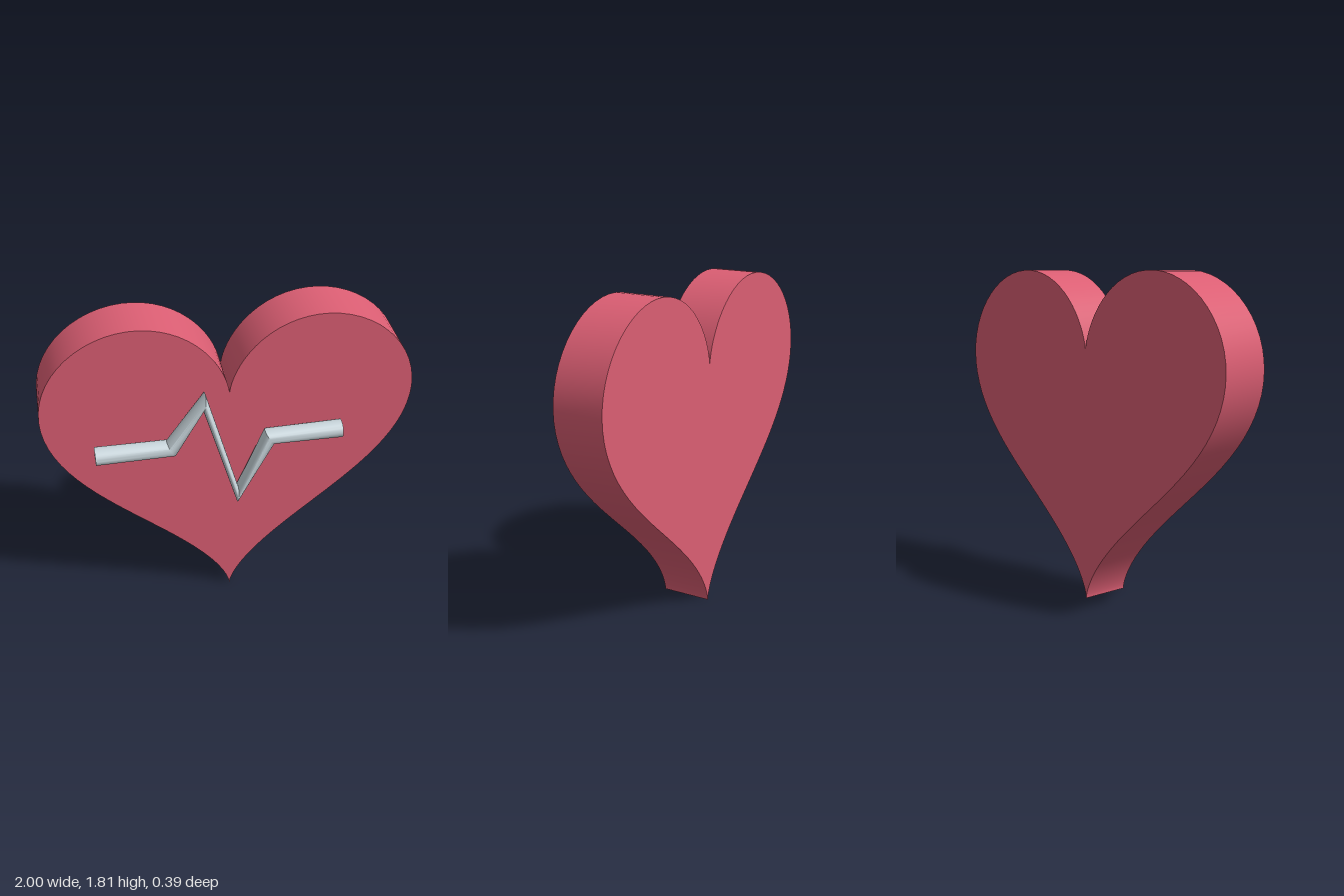
import * as THREE from 'three';
import { toCreasedNormals } from 'three/addons/utils/BufferGeometryUtils.js';

// Heart outline from the parametric heart curve, tip on y = 0
function heartShape(segments) {
  const points = [];
  for (let i = 0; i < segments; i++) {
    const t = (i / segments) * Math.PI * 2;
    const x = 16 * Math.sin(t) ** 3;
    const y = 13 * Math.cos(t) - 5 * Math.cos(2 * t) - 2 * Math.cos(3 * t) - Math.cos(4 * t);
    points.push(new THREE.Vector2(x / 16, (y + 17) / 16));
  }
  return new THREE.Shape(points);
}

// Open tube with one mitred ring per path point; rings keep their size at corners
function pulseTube(path, z, radius, depthRadius, sides) {
  const perp = (a, b) => new THREE.Vector2(a.y - b.y, b.x - a.x).normalize();
  const positions = [];
  const index = [];
  path.forEach((p, i) => {
    const across = new THREE.Vector2();
    if (i > 0) across.add(perp(path[i - 1], p));
    if (i < path.length - 1) across.add(perp(p, path[i + 1]));
    across.normalize();
    for (let j = 0; j < sides; j++) {
      const a = (j / sides) * Math.PI * 2;
      const r = radius * Math.cos(a);
      positions.push(p.x + across.x * r, p.y + across.y * r, z + depthRadius * Math.sin(a));
      if (i === path.length - 1) continue;
      const k = (j + 1) % sides;
      const a0 = i * sides + j, a1 = i * sides + k;
      index.push(a0, a1, a0 + sides, a1, a1 + sides, a0 + sides);
    }
  });
  const geometry = new THREE.BufferGeometry();
  geometry.setAttribute('position', new THREE.Float32BufferAttribute(positions, 3));
  geometry.setIndex(index);
  return toCreasedNormals(geometry, 0.6);
}

export function createModel() {
  const group = new THREE.Group();
  group.name = 'heartWithPulse';

  const red = new THREE.MeshStandardMaterial({ color: 0xdb5e73 });
  red.name = 'heartRed';
  const silver = new THREE.MeshStandardMaterial({ color: 0xc8d5db, side: THREE.DoubleSide });
  silver.name = 'paleSilver';

  // Thick heart plate
  const heartGeometry = new THREE.ExtrudeGeometry(heartShape(128), { depth: 0.285, bevelEnabled: false });
  heartGeometry.translate(0, 0, -0.197);
  const heart = new THREE.Mesh(toCreasedNormals(heartGeometry, 0.6), red);
  heart.name = 'heart';
  group.add(heart);

  // Heartbeat line lying on the front face
  const path = [
    [-0.73, 1.1], [-0.325, 1.103], [-0.145, 1.38], [0.034, 0.742], [0.208, 1.112], [0.605, 1.115],
  ].map(([x, y]) => new THREE.Vector2(x, y));
  const pulse = new THREE.Mesh(pulseTube(path, 0.144, 0.048, 0.053, 32), silver);
  pulse.name = 'pulseLine';
  group.add(pulse);

  return group;
}
